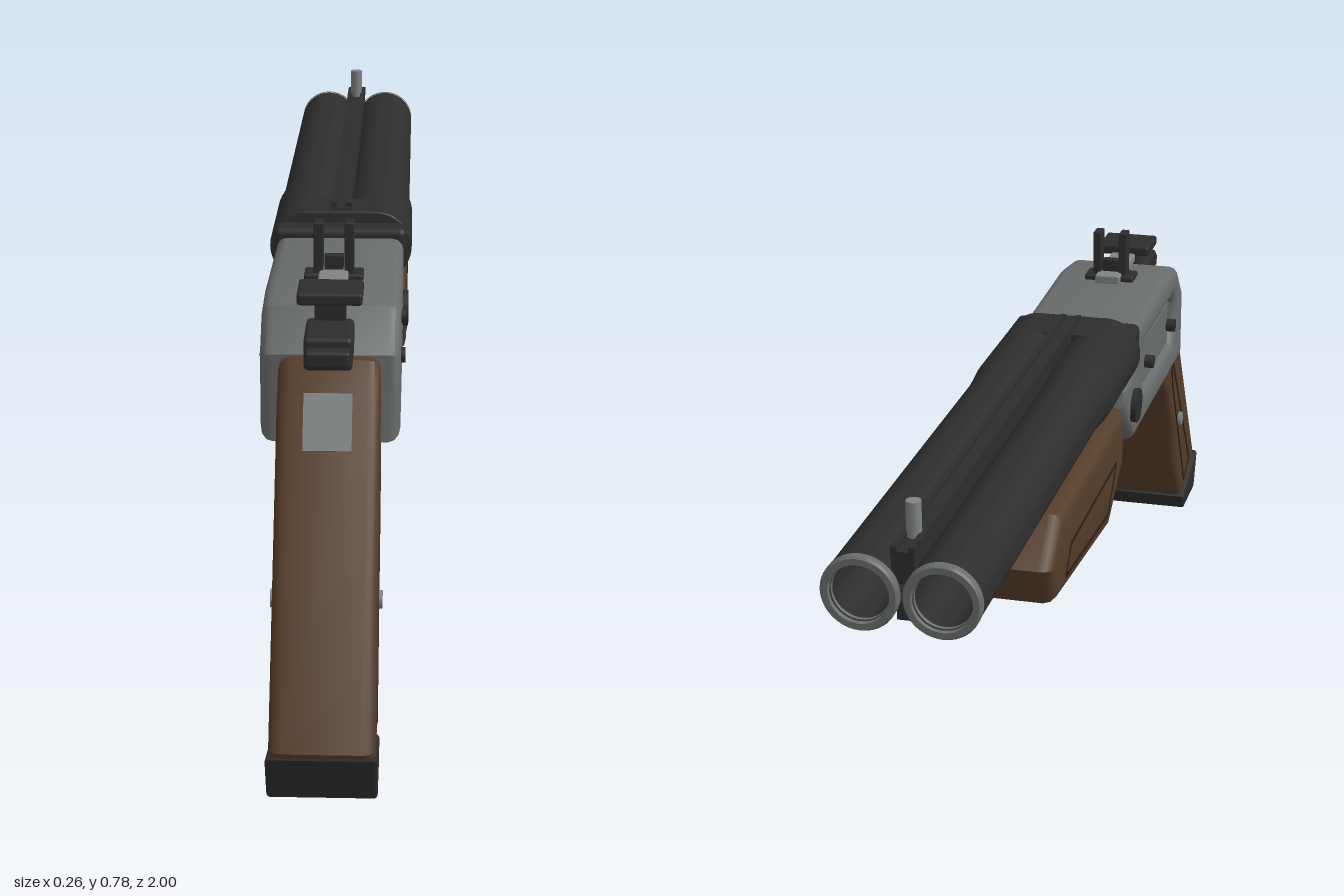
import * as THREE from 'three';
import { toCreasedNormals } from 'three/addons/utils/BufferGeometryUtils.js';
import { RoundedBoxGeometry } from 'three/addons/geometries/RoundedBoxGeometry.js';

export function createModel() {
  const group = new THREE.Group();
  const mat = (name, color) => {
    const m = new THREE.MeshStandardMaterial({ color });
    m.name = name;
    return m;
  };
  const steel = mat('grey steel', 0x696c6c);
  const bright = mat('bright steel', 0x7f8383);
  const black = mat('blued black', 0x2d2d2d);
  const wood = mat('walnut', 0x553d2a);
  const groove = mat('groove brown', 0x2c1f16);

  const add = (name, geo, material, x = 0, y = 0, z = 0) => {
    const mesh = new THREE.Mesh(geo, material);
    mesh.name = name;
    mesh.position.set(x, y, z);
    group.add(mesh);
    return mesh;
  };
  const toShape = (pts) => new THREE.Shape(pts.map((p) => new THREE.Vector2(p[0], p[1])));
  const extrude = (shape, width, bevel) => {
    const geo = new THREE.ExtrudeGeometry(shape, {
      depth: width - 2 * bevel, bevelEnabled: bevel > 0, bevelSize: bevel,
      bevelThickness: bevel, bevelOffset: -bevel, bevelSegments: 3, curveSegments: 16,
    });
    geo.translate(0, 0, -(width - 2 * bevel) / 2);
    return toCreasedNormals(geo, 0.6);
  };
  // Side outline given as [z, y], spread across x
  const side = (pts, width, bevel = 0, hole = null) => {
    const shape = toShape(pts);
    if (hole) shape.holes.push(toShape(hole));
    return extrude(shape, width, bevel).rotateY(-Math.PI / 2);
  };
  const box = (name, m, x0, x1, y0, y1, z0, z1, r = 0) => {
    const s = [x1 - x0, y1 - y0, z1 - z0];
    const geo = r ? new RoundedBoxGeometry(...s, 2, r) : new THREE.BoxGeometry(...s);
    return add(name, geo, m, (x0 + x1) / 2, (y0 + y1) / 2, (z0 + z1) / 2);
  };
  const pin = (name, m, r, halfWidth, y, z) =>
    add(name, new THREE.CylinderGeometry(r, r, halfWidth * 2, 20).rotateZ(Math.PI / 2), m, 0, y, z);
  // Strip of even thickness between two [z, y] points
  const strip = (a, b, t) => {
    const dz = b[0] - a[0], dy = b[1] - a[1], l = Math.hypot(dz, dy);
    const n = [(-dy / l) * t / 2, (dz / l) * t / 2];
    return [[a[0] + n[0], a[1] + n[1]], [b[0] + n[0], b[1] + n[1]],
      [b[0] - n[0], b[1] - n[1]], [a[0] - n[0], a[1] - n[1]]];
  };
  const grooves = (name, pts, x) => {
    pts.forEach((p, i) => {
      const geo = side(strip(p, pts[(i + 1) % pts.length], 0.006), 0.003);
      for (const s of [-1, 1]) add(name, geo, groove, s * x);
    });
  };

  // Grip, butt cap and grip fittings
  add('grip', side([[0.99, 0.085], [0.96, 0.015], [0.85, 0.015], [0.765, 0.12], [0.73, 0.23],
    [0.64, 0.36], [0.51, 0.465], [0.53, 0.6], [0.645, 0.61], [0.70, 0.56]], 0.166, 0.02), wood);
  add('buttCap', side([[1.0, 0.08], [0.97, 0], [0.845, 0], [0.825, 0.035]], 0.174, 0.006), black);
  grooves('gripGroove', [[0.66, 0.455], [0.91, 0.1], [0.85, 0.07], [0.69, 0.36]], 0.083);
  pin('gripScrew', bright, 0.015, 0.09, 0.25, 0.775);
  add('gripPlate', side(strip([0.695, 0.57], [0.744, 0.49], 0.008), 0.078), bright);

  // Receiver with a side window, inner panels and fasteners
  add('receiver', side([[0.62, 0.46], [0.62, 0.61], [0.56, 0.675], [0.46, 0.688], [0.1, 0.675],
    [0.1, 0.605], [0.03, 0.6], [0.03, 0.56], [0.13, 0.46]], 0.23, 0.02,
  [[0.235, 0.525], [0.515, 0.525], [0.535, 0.545], [0.535, 0.605], [0.515, 0.625],
    [0.235, 0.625], [0.215, 0.605], [0.215, 0.545]]), steel);
  box('receiverCore', steel, -0.085, 0.085, 0.49, 0.65, 0.18, 0.54);
  box('gripTang', wood, -0.088, 0.088, 0.5, 0.64, 0.512, 0.55);
  box('sidePanel', steel, -0.105, 0.105, 0.525, 0.625, 0.222, 0.512, 0.012);
  pin('hingePin', black, 0.033, 0.125, 0.537, 0.12);
  pin('rearScrew', black, 0.013, 0.122, 0.57, 0.495);
  pin('frontScrew', black, 0.013, 0.122, 0.57, 0.275);

  // Trigger and guard
  const guard = [[0.545, 0.4], [0.45, 0.317], [0.32, 0.303], [0.235, 0.34], [0.215, 0.47]];
  const outer = [[0.53, 0.407], [0.444, 0.332], [0.324, 0.318], [0.248, 0.35], [0.23, 0.47]];
  const inner = guard.map((p, i) => [2 * p[0] - outer[i][0], 2 * p[1] - outer[i][1]]);
  add('triggerGuard', side([...outer, ...inner.reverse()], 0.05, 0.004), black);
  box('triggerPlate', black, -0.04, 0.04, 0.445, 0.465, 0.2, 0.44, 0.005);
  add('trigger', side([[0.35, 0.47], [0.355, 0.41], [0.375, 0.37], [0.415, 0.345], [0.405, 0.333],
    [0.37, 0.345], [0.335, 0.385], [0.315, 0.47]], 0.032, 0.004), bright);

  // Hammer, top lever and rear sight
  box('hammer', black, -0.039, 0.039, 0.61, 0.665, 0.59, 0.705, 0.008);
  box('hammerSpur', black, -0.036, 0.036, 0.622, 0.65, 0.69, 0.73, 0.006);
  box('topLever', black, -0.053, 0.053, 0.697, 0.717, 0.545, 0.635, 0.005);
  box('leverStem', black, -0.025, 0.025, 0.66, 0.7, 0.56, 0.61);
  box('leverPlate', bright, -0.025, 0.025, 0.684, 0.702, 0.39, 0.55, 0.004);
  box('rearSightBase', black, -0.05, 0.05, 0.683, 0.697, 0.405, 0.455, 0.004);
  box('rearSightBridge', black, -0.016, 0.016, 0.697, 0.725, 0.42, 0.44);
  for (const s of [-1, 1]) {
    box('rearSightPost', black, s * 0.026 - 0.008, s * 0.026 + 0.008, 0.69, 0.784, 0.414, 0.446, 0.002);
  }

  // Twin hollow barrels with a thicker breech and pale muzzle rings
  const lathe = (pts) => toCreasedNormals(
    new THREE.LatheGeometry(pts.map((p) => new THREE.Vector2(p[0], p[1])), 40).rotateX(-Math.PI / 2), 0.5);
  const barrel = lathe([[0, -0.1], [0.066, -0.1], [0.066, 0.14], [0.06, 0.21], [0.06, 0.988]]);
  const bore = lathe([[0.046, 0.995], [0.046, 0.6], [0, 0.6]]);
  const ring = lathe([[0.061, 0.985], [0.061, 0.996], [0.058, 1], [0.048, 1], [0.045, 0.985]]);
  for (const s of [-1, 1]) {
    add('barrel', barrel, black, s * 0.064, 0.65);
    add('bore', bore, black, s * 0.064, 0.65);
    add('muzzleRing', ring, steel, s * 0.064, 0.65);
  }
  const breech = new THREE.Shape();
  breech.absarc(0.064, 0, 0.066, -Math.PI / 2, Math.PI / 2);
  breech.absarc(-0.064, 0, 0.066, Math.PI / 2, Math.PI * 1.5);
  add('breechBlock', extrude(breech, 0.1, 0.004), black, 0, 0.649, 0.055);
  box('breechCollar', black, -0.12, 0.12, 0.645, 0.694, 0.08, 0.15, 0.012);

  // Ribs and bead sight
  box('topRib', black, -0.018, 0.018, 0.665, 0.717, -0.98, 0.09);
  for (const s of [-1, 1]) {
    box('ribRail', black, s * 0.014 - 0.005, s * 0.014 + 0.005, 0.71, 0.725, -0.98, 0.08);
  }
  box('bottomRib', black, -0.018, 0.018, 0.595, 0.64, -0.96, 0.09);
  add('beadSight', new THREE.CylinderGeometry(0.012, 0.012, 0.06, 16), bright, 0, 0.745, -0.92);

  // Wooden fore-end with grooves and a lower plate
  add('foreEnd', side([[0.02, 0.57], [0.02, 0.46], [-0.105, 0.377], [-0.52, 0.42],
    [-0.555, 0.495], [-0.48, 0.57]], 0.24, 0.025), wood);
  grooves('foreEndGroove', [[-0.06, 0.49], [-0.13, 0.415], [-0.46, 0.445], [-0.42, 0.49]], 0.12);
  add('foreEndPlate', side([[-0.165, 0.41], [-0.165, 0.378], [-0.375, 0.378], [-0.375, 0.42]],
    0.07, 0.004), bright);

  return group;
}
